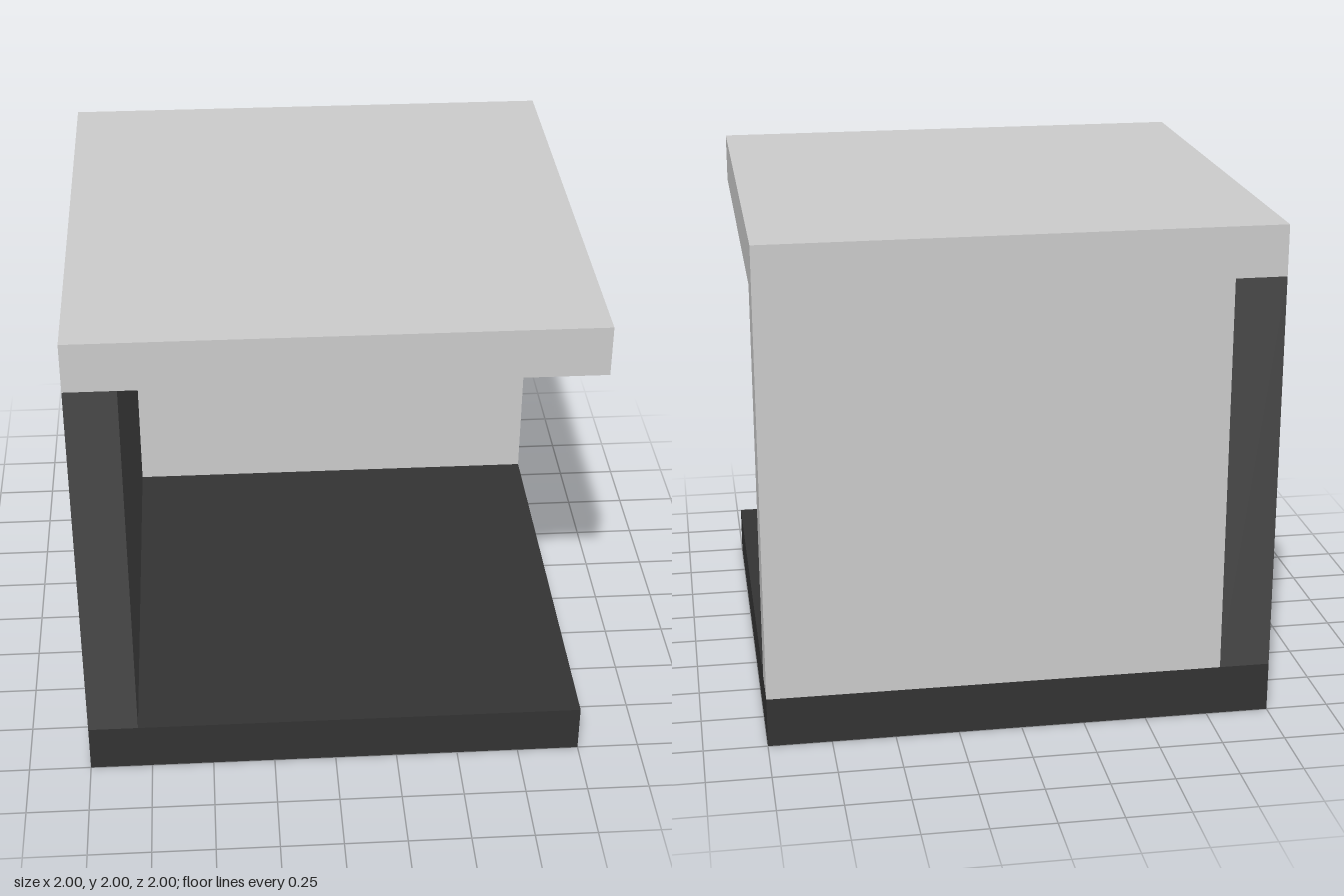
import * as THREE from 'three';

// Open cube: four slabs, butted together so that no faces coincide.
const T = 0.2;

function slab(name, color, [x0, x1], [y0, y1], [z0, z1]) {
  const mesh = new THREE.Mesh(
    new THREE.BoxGeometry(x1 - x0, y1 - y0, z1 - z0),
    new THREE.MeshStandardMaterial({ color })
  );
  mesh.position.set((x0 + x1) / 2, (y0 + y1) / 2, (z0 + z1) / 2);
  mesh.name = name;
  return mesh;
}

export function createModel() {
  const model = new THREE.Group();
  model.name = 'openCube';
  const wallHeight = [T, 2 - T];
  model.add(
    // Full-size floor and roof
    slab('floor', 0x333333, [-1, 1], [0, T], [-1, 1]),
    slab('roof', 0xcccccc, [-1, 1], [2 - T, 2], [-1, 1]),
    // Dark side wall runs the full depth; the back wall meets its inner face
    slab('rightWall', 0x484848, [-1, -1 + T], wallHeight, [-1, 1]),
    slab('backWall', 0xcccccc, [-1 + T, 1], wallHeight, [-1, -1 + T])
  );
  return model;
}
